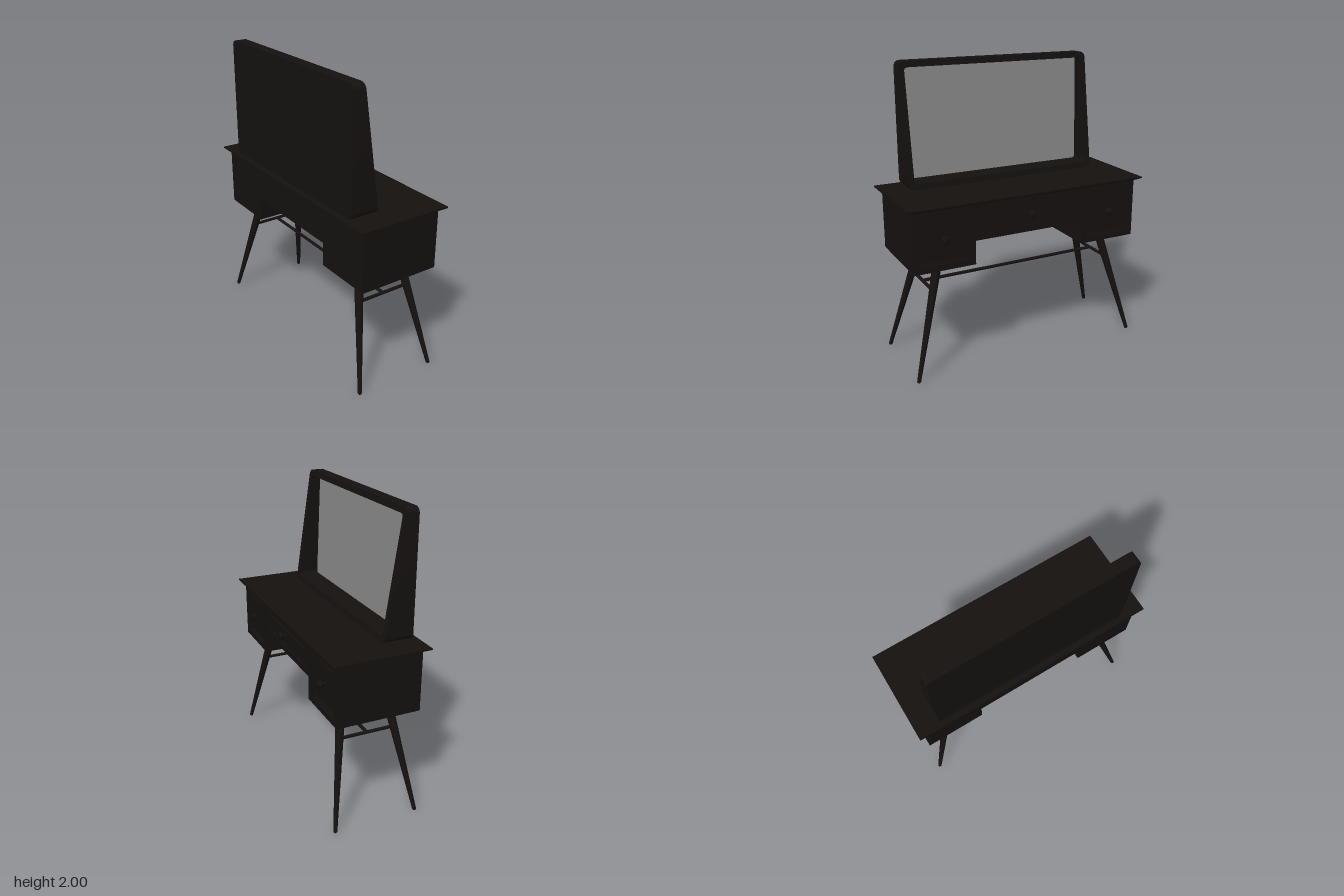
import * as THREE from 'three';
import { toCreasedNormals } from 'three/addons/utils/BufferGeometryUtils.js';

const wood = new THREE.MeshStandardMaterial({ color: 0x14110f });
const glass = new THREE.MeshStandardMaterial({ color: 0x888888 });

function add(parent, name, geometry, material = wood) {
  const mesh = new THREE.Mesh(geometry, material);
  mesh.name = name;
  parent.add(mesh);
  return mesh;
}

// box given by its limits on each axis
function block(x0, x1, y0, y1, z0, z1) {
  return new THREE.BoxGeometry(x1 - x0, y1 - y0, z1 - z0)
    .translate((x0 + x1) / 2, (y0 + y1) / 2, (z0 + z1) / 2);
}

// rectangle with rounded corners, centred on (0, cy)
function roundRect(path, w, h, r, cy = 0) {
  const x = w / 2, b = cy - h / 2, t = cy + h / 2;
  path.moveTo(-x + r, b).lineTo(x - r, b);
  if (r) path.absarc(x - r, b + r, r, -Math.PI / 2, 0);
  path.lineTo(x, t - r);
  if (r) path.absarc(x - r, t - r, r, 0, Math.PI / 2);
  path.lineTo(-x + r, t);
  if (r) path.absarc(-x + r, t - r, r, Math.PI / 2, Math.PI);
  path.lineTo(-x, b + r);
  if (r) path.absarc(-x + r, b + r, r, Math.PI, Math.PI * 1.5);
  return path;
}

// rectangular ring extruded towards +x, from x0 to x1
function ring(x0, x1, w, h, border, cy, cz) {
  const shape = roundRect(new THREE.Shape(), w, h, 0);
  shape.holes.push(roundRect(new THREE.Path(), w - 2 * border, h - 2 * border, 0));
  return new THREE.ExtrudeGeometry(shape, { depth: x1 - x0, bevelEnabled: false })
    .rotateY(Math.PI / 2).translate(x0, cy, cz);
}

// straight tapered rod between two points
function rod(from, to, r0, r1) {
  const dir = to.clone().sub(from);
  const turn = new THREE.Quaternion().setFromUnitVectors(new THREE.Vector3(0, 1, 0), dir.clone().normalize());
  return new THREE.CylinderGeometry(r1, r0, dir.length(), 20)
    .applyQuaternion(turn).translate(...from.clone().add(to).multiplyScalar(0.5).toArray());
}

// drawer front: outer frame, stepped moulding, raised field and turned knob
function drawerFront(parent, name, w, h, cy, cz, back) {
  const group = new THREE.Group();
  group.name = name;
  parent.add(group);
  add(group, 'drawerFrame', ring(back, 0.28, w, h, 0.04, cy, cz));
  add(group, 'drawerMoulding', ring(back, (back + 0.28) / 2, w - 0.08, h - 0.08, 0.012, cy, cz));
  const fw = w - 0.165, fh = h - 0.165;
  add(group, 'drawerField', block(back, back + 0.007, cy - fh / 2, cy + fh / 2, cz - fw / 2, cz + fw / 2));
  const profile = [[0.016, 0], [0.012, 0.012], [0.012, 0.024], [0.022, 0.028], [0.027, 0.036],
    [0.027, 0.044], [0.022, 0.052], [0.012, 0.056], [0, 0.057]].map(p => new THREE.Vector2(...p));
  add(group, 'knob', new THREE.LatheGeometry(profile, 24).rotateZ(-Math.PI / 2).translate(back, cy, cz));
}

export function createModel() {
  const model = new THREE.Group();
  model.name = 'dressingTable';

  // table top with a chamfered underside
  add(model, 'tableTop', block(-0.33, 0.32, 1.17, 1.18, -0.86, 0.86));
  const under = block(-0.328, 0.318, 1.155, 1.17, -0.858, 0.858);
  const up = under.attributes.position;
  for (let i = 0; i < up.count; i++) {
    if (up.getY(i) > 1.16) continue;
    up.setX(i, up.getX(i) - Math.sign(up.getX(i)) * 0.028);
    up.setZ(i, up.getZ(i) - Math.sign(up.getZ(i)) * 0.028);
  }
  under.computeVertexNormals();
  add(model, 'tableTopMoulding', under);

  // cabinet: centre drawer between two deeper pedestals
  add(model, 'centreCase', block(-0.29, 0.27, 0.91, 1.157, -0.4, 0.4));
  drawerFront(model, 'centreDrawer', 0.8, 0.247, 1.0335, 0, 0.27);
  for (const s of [-1, 1]) {
    const side = s > 0 ? 'left' : 'right';
    add(model, side + 'Pedestal', block(-0.29, 0.255, 0.75, 1.157, s * 0.61 - 0.21, s * 0.61 + 0.21));
    drawerFront(model, side + 'Drawer', 0.42, 0.407, 0.9535, s * 0.61, 0.255);
  }

  // splayed legs with rounded feet, joined by an H-shaped stretcher
  const midX = -0.005;
  for (const sz of [-1, 1]) {
    for (const sx of [-1, 1]) {
      const top = new THREE.Vector3(midX + sx * 0.163, 0.76, sz * 0.618);
      const foot = new THREE.Vector3(midX + sx * 0.287, 0.013, sz * 0.82);
      const leg = new THREE.Group();
      leg.name = (sx > 0 ? 'front' : 'back') + (sz > 0 ? 'Left' : 'Right') + 'Leg';
      model.add(leg);
      add(leg, 'legShaft', rod(foot, top, 0.013, 0.031));
      add(leg, 'footTip', new THREE.SphereGeometry(0.013, 20, 10).translate(...foot.toArray()));
    }
    add(model, 'sideStretcher', rod(new THREE.Vector3(midX - 0.19, 0.58, sz * 0.665),
      new THREE.Vector3(midX + 0.19, 0.58, sz * 0.665), 0.011, 0.011));
  }
  add(model, 'longStretcher', rod(new THREE.Vector3(midX, 0.58, -0.665),
    new THREE.Vector3(midX, 0.58, 0.665), 0.011, 0.011));

  // mirror housing: upright back, front edge sloping forward towards the table
  const mirror = new THREE.Group();
  mirror.name = 'mirror';
  model.add(mirror);
  const outline = roundRect(new THREE.Shape(), 1.396, 0.82, 0.04, 1.59);
  outline.holes.push(roundRect(new THREE.Path(), 1.316, 0.74, 0.022, 1.59));
  const frame = new THREE.ExtrudeGeometry(outline, { depth: 1, bevelEnabled: false, curveSegments: 8 });
  const fp = frame.attributes.position;
  for (let i = 0; i < fp.count; i++) {
    const depth = 0.08 + 0.12 * (2 - fp.getY(i)) / 0.82;
    fp.setZ(i, -0.29 + fp.getZ(i) * depth);
  }
  frame.rotateY(Math.PI / 2);
  add(mirror, 'mirrorFrame', toCreasedNormals(frame, 0.6));

  const backing = roundRect(new THREE.Shape(), 1.33, 0.754, 0.028, 1.59);
  add(mirror, 'mirrorBack', new THREE.ExtrudeGeometry(backing, { depth: 0.012, bevelEnabled: false })
    .rotateY(Math.PI / 2).translate(-0.289, 0, 0));

  // glass leaning slightly back inside the housing
  const pane = new THREE.ShapeGeometry(roundRect(new THREE.Shape(), 1.32, 0.744, 0.024, 0))
    .rotateY(Math.PI / 2).rotateZ(0.036).translate(-0.257, 1.59, 0);
  add(mirror, 'mirrorGlass', pane, glass);

  return model;
}
